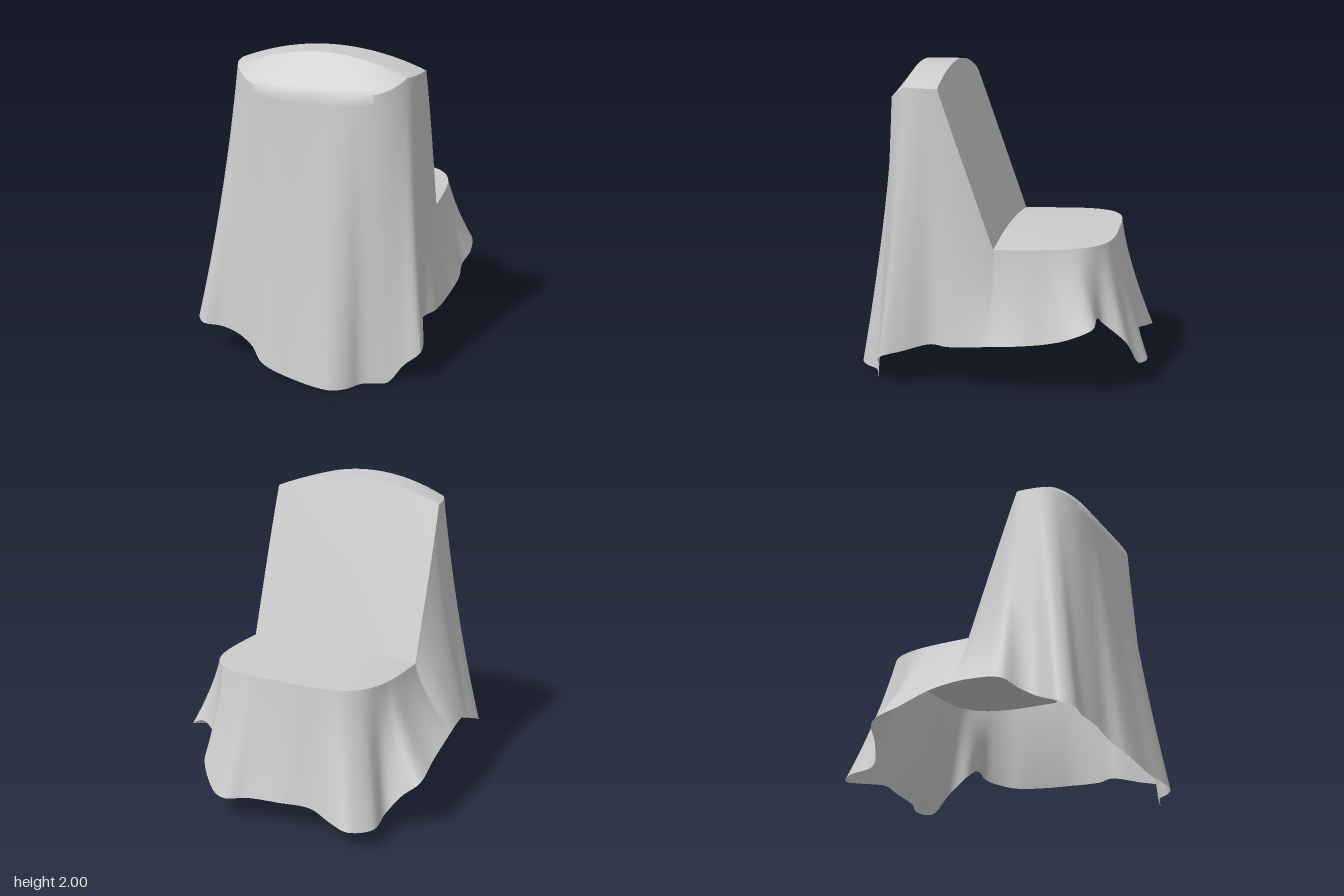
import * as THREE from 'three';
import { toCreasedNormals } from 'three/addons/utils/BufferGeometryUtils.js';

const CX = 0.065, CZ = -0.02;      // plan centre; the seat/back fold runs through it
const HALF_W = 0.595, HALF_D = 0.71;
const RIDGE = 0.34, REAR = 0.56;   // top of the backrest, measured from the fold
const SEG = 288;

// Height of the cover along z: middle line and side edge
const MIDDLE = [[-0.73, 0.94], [-0.02, 0.95], [0.32, 2.0], [0.54, 2.0], [0.69, 1.78]];
const EDGE = [[-0.73, 0.94], [-0.02, 0.91], [0.32, 1.88], [0.54, 1.88], [0.69, 1.78]];

// Hem of the cloth, going round from the model's left side: x, y, z
const HEM = [
  [0.78, 0.33, 0], [0.74, 0.30, 0.25], [0.68, 0.29, 0.38], [0.73, 0.25, 0.55], [0.75, 0.21, 0.69],
  [0.65, 0.12, 0.72], [0.55, 0.0, 0.76], [0.41, 0.0, 0.81], [0.34, 0.0, 0.90], [0.25, 0.0, 0.95],
  [0, 0.02, 0.92], [-0.22, 0.08, 0.88], [-0.31, 0.15, 0.81], [-0.42, 0.21, 0.78], [-0.54, 0.23, 0.755],
  [-0.66, 0.24, 0.765], [-0.71, 0.27, 0.70], [-0.66, 0.36, 0.52], [-0.69, 0.42, 0.42], [-0.76, 0.47, 0.35],
  [-0.78, 0.50, 0.15], [-0.80, 0.48, -0.1], [-0.80, 0.42, -0.32], [-0.80, 0.35, -0.53], [-0.70, 0.26, -0.57],
  [-0.62, 0.15, -0.63], [-0.62, 0.12, -0.80], [-0.50, 0.13, -0.92], [-0.38, 0.15, -0.90], [-0.20, 0.18, -0.84],
  [0, 0.19, -0.88], [0.22, 0.18, -0.90], [0.35, 0.17, -0.95], [0.47, 0.18, -0.90], [0.57, 0.34, -0.83],
  [0.59, 0.46, -0.69], [0.68, 0.52, -0.66], [0.77, 0.48, -0.65], [0.80, 0.42, -0.52], [0.77, 0.37, -0.38],
  [0.79, 0.35, -0.2],
];

function sampleLine(line, z) {
  let i = 0;
  while (i < line.length - 2 && z > line[i + 1][0]) i++;
  const [z0, y0] = line[i], [z1, y1] = line[i + 1];
  return y0 + (y1 - y0) * THREE.MathUtils.clamp((z - z0) / (z1 - z0), 0, 1);
}

// Cover height, arched across the width of the rounded plan
function coverHeight(x, z) {
  const d = Math.min(1, Math.abs((z - CZ) / HALF_D));
  const width = HALF_W * Math.pow(1 - d ** 4, 0.25) + 1e-6;
  const s = Math.min(1, Math.abs(x - CX) / width);
  return THREE.MathUtils.lerp(sampleLine(MIDDLE, z), sampleLine(EDGE, z), s * s);
}

// Hem as radius and height by angle
function makeHemLookup() {
  const curve = new THREE.CatmullRomCurve3(HEM.map(p => new THREE.Vector3(...p)), true);
  const full = Math.PI * 2;
  const list = curve.getPoints(820).slice(0, -1).map(p => ({
    a: (Math.atan2(p.z - CZ, p.x - CX) + full) % full,
    r: Math.hypot(p.x - CX, p.z - CZ),
    y: Math.max(0, p.y),
  })).sort((p, q) => p.a - q.a);
  const first = list[0], last = list[list.length - 1];
  list.unshift({ ...last, a: last.a - full });
  list.push({ ...first, a: first.a + full });
  return angle => {
    const i = Math.max(1, list.findIndex(p => p.a > angle));
    const p = list[i - 1], q = list[i];
    const t = (angle - p.a) / (q.a - p.a || 1);
    return { r: THREE.MathUtils.lerp(p.r, q.r, t), y: THREE.MathUtils.lerp(p.y, q.y, t) };
  };
}

// One strand of cloth from the plan centre over the rim down to the hem
function strand(angle, hemAt) {
  const c = Math.cos(angle), s = Math.sin(angle);
  const rim = Math.pow(Math.abs(c / HALF_W) ** 4 + Math.abs(s / HALF_D) ** 4, -0.25);
  const points = [];
  const at = (r, y) => points.push([CX + c * r, y, CZ + s * r]);
  // rings line up with the ridges of the backrest
  const depth = Math.max(RIDGE, rim * s);
  const stops = [0, RIDGE / depth, Math.min(1, REAR / depth), 1];
  const counts = [16, 6, 6];
  counts.forEach((n, k) => {
    for (let i = k ? 1 : 0; i <= n; i++) {
      const r = rim * THREE.MathUtils.lerp(stops[k], stops[k + 1], i / n);
      at(r, coverHeight(CX + c * r, CZ + s * r));
    }
  });
  // hanging skirt, flaring towards the hem
  const top = points[points.length - 1][1];
  const hem = hemAt(angle);
  const straight = 0.45 + 0.3 * Math.abs(s);
  for (let i = 1; i <= 28; i++) {
    const v = i / 28;
    const flare = straight * v + (1 - straight) * v * v;
    at(THREE.MathUtils.lerp(rim, hem.r, flare), THREE.MathUtils.lerp(top, hem.y, v));
  }
  return points;
}

export function createModel() {
  const hemAt = makeHemLookup();
  const positions = [], index = [];
  let rows = 0;
  for (let j = 0; j < SEG; j++) {
    const points = strand(j / SEG * Math.PI * 2, hemAt);
    rows = points.length;
    points.forEach(p => positions.push(...p));
  }
  for (let j = 0; j < SEG; j++) {
    const here = j * rows, next = ((j + 1) % SEG) * rows;
    for (let i = 0; i < rows - 1; i++) {
      const a = here + i, b = next + i;
      if (i > 0) index.push(a, b, b + 1);
      index.push(a, b + 1, a + 1);
    }
  }
  const geometry = new THREE.BufferGeometry();
  geometry.setAttribute('position', new THREE.Float32BufferAttribute(positions, 3));
  geometry.setIndex(index);

  const cloth = new THREE.Mesh(
    toCreasedNormals(geometry, THREE.MathUtils.degToRad(40)),
    new THREE.MeshStandardMaterial({ color: 0xcccccc, side: THREE.DoubleSide }),
  );
  cloth.name = 'drapedChairCover';
  const group = new THREE.Group();
  group.name = 'coveredChair';
  group.add(cloth);
  return group;
}
